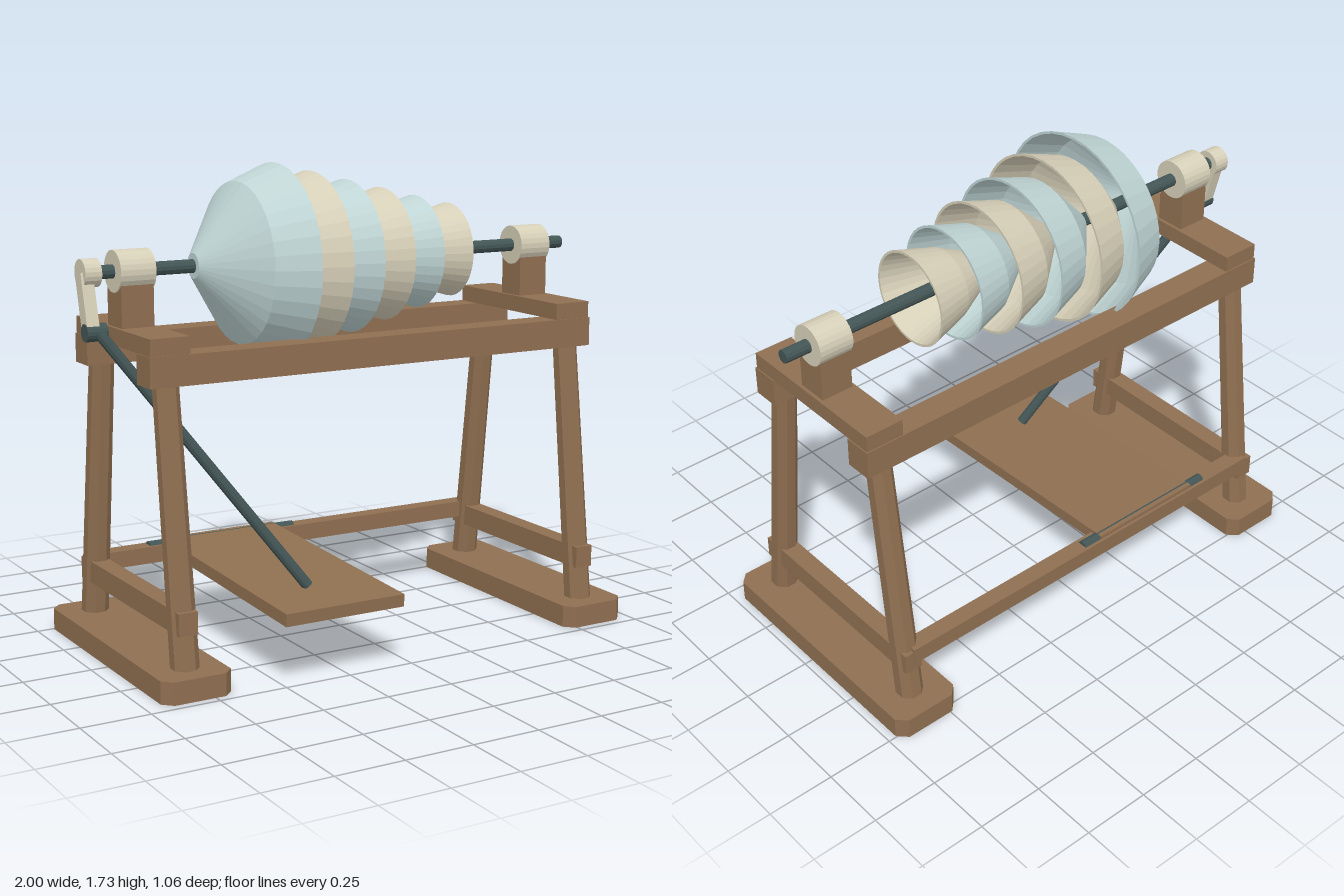
import * as THREE from 'three';

const mat = (name, color, extra = {}) => {
  const m = new THREE.MeshStandardMaterial({ color, flatShading: true, ...extra });
  m.name = name;
  return m;
};

export function createModel() {
  const wood = mat('wood', 0x8f6f51);
  const cream = mat('cream', 0xd6cfb8);
  const paleBlue = mat('paleBlue', 0xbfd4d4);
  const iron = mat('iron', 0x435555);

  const model = new THREE.Group();
  model.name = 'treadleBowlInstrument';
  const ZC = -0.03;     // centre line of the frame and spindle
  const AXIS_Y = 1.38;  // spindle height
  const ENDS = [-0.807, 0.838]; // x of the two end frames

  const add = (name, geo, material) => {
    const mesh = new THREE.Mesh(geo, material);
    mesh.name = name;
    model.add(mesh);
    return mesh;
  };

  // Box given by its minimum and maximum corners
  const box = (name, x0, x1, y0, y1, z0, z1, material = wood) => {
    const mesh = add(name, new THREE.BoxGeometry(x1 - x0, y1 - y0, z1 - z0), material);
    mesh.position.set((x0 + x1) / 2, (y0 + y1) / 2, (z0 + z1) / 2);
    return mesh;
  };

  // Round bar from point a to point b
  const bar = (name, a, b, ra, rb, sides, material) => {
    const p = new THREE.Vector3(...a), q = new THREE.Vector3(...b);
    const dir = q.clone().sub(p);
    const geo = new THREE.CylinderGeometry(rb, ra, dir.length(), sides);
    geo.rotateY(Math.PI / sides);
    const mesh = add(name, geo, material);
    mesh.position.copy(p).add(q).multiplyScalar(0.5);
    mesh.quaternion.setFromUnitVectors(new THREE.Vector3(0, 1, 0), dir.normalize());
    return mesh;
  };

  // Foot board with clipped corners
  const footGeometry = () => {
    const w = 0.13, d = 0.5, c = 0.035;
    const s = new THREE.Shape([
      [-w + c, -d], [w - c, -d], [w, -d + c], [w, d - c],
      [w - c, d], [-w + c, d], [-w, d - c], [-w, -d + c],
    ].map(([x, y]) => new THREE.Vector2(x, y)));
    return new THREE.ExtrudeGeometry(s, { depth: 0.08, bevelEnabled: false }).rotateX(-Math.PI / 2);
  };

  // End frames
  for (const x of ENDS) {
    add('foot', footGeometry(), wood).position.set(x, 0, ZC);
    for (const s of [-1, 1]) {
      bar('leg', [x, 0.06, ZC + s * 0.383], [x, 1.06, ZC + s * 0.262], 0.05, 0.045, 8, wood);
    }
    box('sideBrace', x - 0.035, x + 0.035, 0.2, 0.28, ZC - 0.415, ZC + 0.415);
    box('crossBeam', x - 0.073, x + 0.073, 1.13, 1.19, ZC - 0.31, ZC + 0.31);
    box('bearingPost', x - 0.06, x + 0.06, 1.19, 1.35, ZC - 0.058, ZC + 0.058);
    bar('bearing', [x - 0.065, AXIS_Y, ZC], [x + 0.065, AXIS_Y, ZC], 0.073, 0.073, 24, cream);
  }

  // Long rails
  for (const s of [-1, 1]) {
    box('topRail', -0.884, 0.915, 1.025, 1.13, ZC + s * 0.262 - 0.052, ZC + s * 0.262 + 0.052);
  }
  box('backStretcher', ENDS[0], ENDS[1], 0.23, 0.293, -0.45, -0.385);

  // Spindle
  bar('spindle', [-0.95, AXIS_Y, ZC], [1, AXIS_Y, ZC], 0.024, 0.024, 12, iron);

  // Nested bowls: [rim x, rim radius, shoulder radius]
  const bowls = [
    [-0.25, 0.347, 0.287], [-0.105, 0.313, 0.26], [0.043, 0.277, 0.227],
    [0.19, 0.243, 0.195], [0.336, 0.208, 0.163], [0.484, 0.174, 0.13],
  ];
  const t = 0.009; // wall thickness
  bowls.forEach(([rimX, rim, shoulder], i) => {
    const profile = [
      [0.02, 0], [0.045, 0], [shoulder, 0.17], [rim, 0.32],
      [rim - t, 0.32], [shoulder - t, 0.17 + t / 2], [0.045 - t, t], [0.02, t],
    ].map(([r, h]) => new THREE.Vector2(r, h));
    const geo = new THREE.LatheGeometry(profile, 36);
    geo.rotateZ(-Math.PI / 2);
    add('bowl' + (i + 1), geo, i % 2 ? cream : paleBlue).position.set(rimX - 0.32, AXIS_Y, ZC);
  });

  // Crank: hub, arm and pin
  const PIN = [-0.962, 1.185, 0.02];
  bar('crankHub', [-0.99, AXIS_Y, ZC], [-0.93, AXIS_Y, ZC], 0.049, 0.049, 20, cream);
  const arm = add('crankArm', new THREE.BoxGeometry(0.045, 0.2, 0.05), cream);
  arm.position.set(-0.976, (AXIS_Y + PIN[1]) / 2, (ZC + PIN[2]) / 2);
  arm.rotation.x = Math.atan2(ZC - PIN[2], AXIS_Y - PIN[1]);
  bar('crankPin', [-1, PIN[1], PIN[2]], [-0.925, PIN[1], PIN[2]], 0.031, 0.031, 16, iron);

  // Connecting rod from crank to treadle
  bar('connectingRod', [-0.955, 1.185, 0.035], [-0.31, 0.28, 0.31], 0.02, 0.02, 10, iron);

  // Treadle board, hinged at the back
  const treadle = add('treadle', new THREE.BoxGeometry(0.465, 0.045, 0.966), wood);
  treadle.position.set(-0.281, 0.264, 0.043);
  treadle.rotation.x = 0.042;
  bar('treadleHinge', [-0.585, 0.285, -0.418], [0.027, 0.285, -0.418], 0.022, 0.022, 10, iron);

  return model;
}
